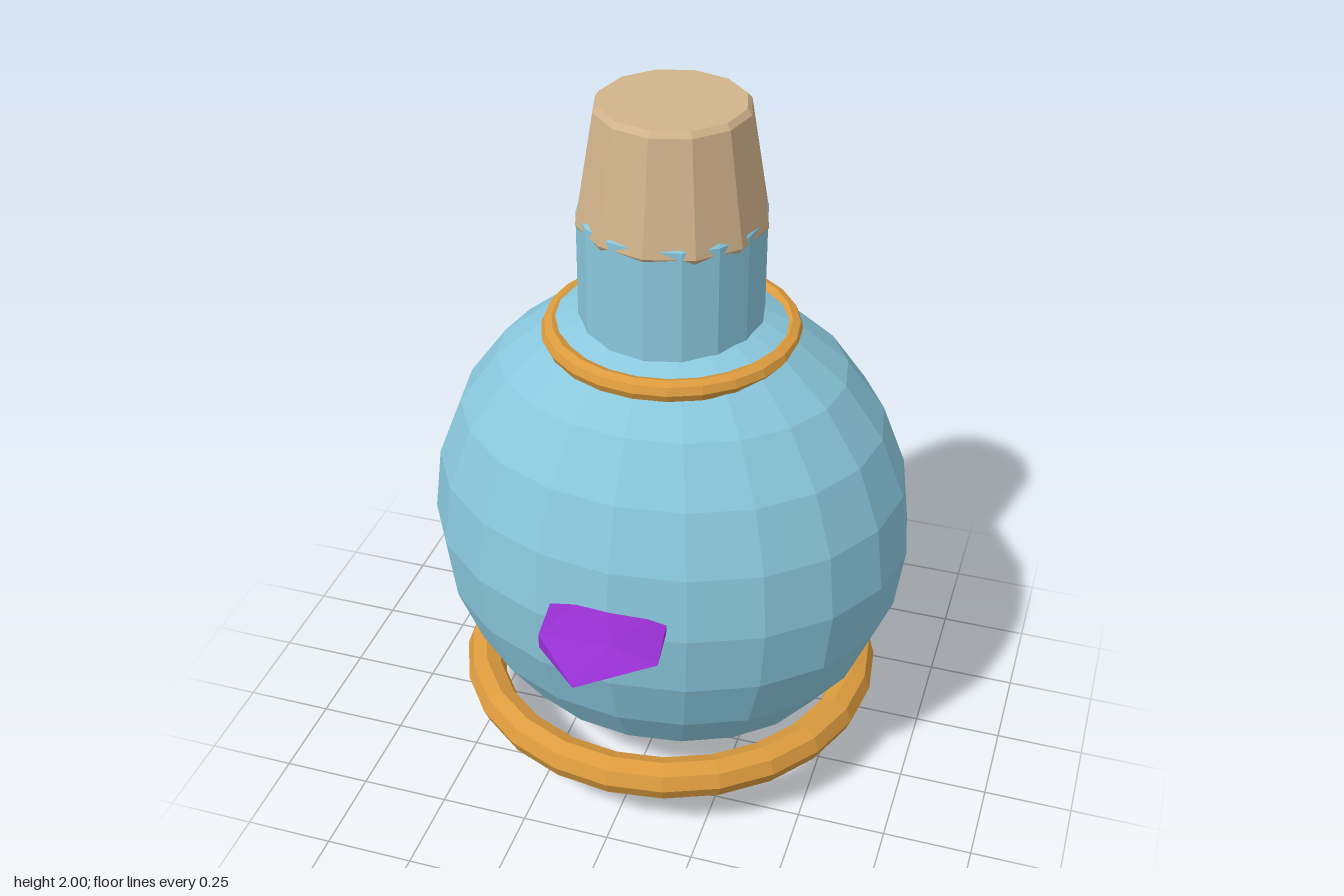
import * as THREE from 'three';
import { ConvexGeometry } from 'three/addons/geometries/ConvexGeometry.js';

const flat = (name, color) => {
  const m = new THREE.MeshStandardMaterial({ color, flatShading: true });
  m.name = name;
  return m;
};

export function createModel() {
  const glass = flat('blue glass', 0x8ac8dd);
  const cork = flat('cork tan', 0xd2b48c);
  const brass = flat('orange trim', 0xdc9b3e);
  const purple = flat('purple', 0x9a30d4);

  const group = new THREE.Group();
  group.name = 'bottle';
  const axisZ = -0.117; // the bottle's upright axis sits behind the origin

  const add = (name, geometry, material, y, z = axisZ) => {
    const mesh = new THREE.Mesh(geometry, material);
    mesh.name = name;
    mesh.position.set(0, y, z);
    group.add(mesh);
    return mesh;
  };

  // Egg-shaped body, narrower front to back
  add('body', new THREE.SphereGeometry(1, 20, 12).scale(0.688, 0.728, 0.585), glass, 0.73);

  // Neck, with a small bevel under the stopper
  const profile = (points) => points.map(([r, y]) => new THREE.Vector2(r, y));
  add('neck', new THREE.LatheGeometry(profile([
    [0.252, 1.3], [0.252, 1.7], [0.24, 1.716], [0, 1.716],
  ]), 16), glass, 0);

  // Tapered stopper with softened rims
  add('stopper', new THREE.LatheGeometry(profile([
    [0, 1.663], [0.247, 1.663], [0.258, 1.68], [0.206, 1.985], [0.193, 2], [0, 2],
  ]), 12), cork, 0);

  // Base ring and shoulder ring
  const ring = (radius, tube) => new THREE.TorusGeometry(radius, tube, 8, 24).rotateX(Math.PI / 2);
  add('baseRing', ring(0.56, 0.057), brass, 0.208);
  add('shoulderRing', ring(0.325, 0.03), brass, 1.345);

  // Flattened pointed spout: two five-sided rings between a front and a back tip
  const points = [new THREE.Vector3(0, 0, 0.262), new THREE.Vector3(0, 0, -0.262)];
  for (const side of [1, -1]) {
    for (let i = 0; i < 5; i++) {
      const a = (i * 2 * Math.PI) / 5;
      points.push(new THREE.Vector3(side * 0.179 * Math.cos(a), 0.035 * Math.sin(a), side * 0.117));
    }
  }
  add('spout', new ConvexGeometry(points), purple, 0.767, 0.468);

  return group;
}
